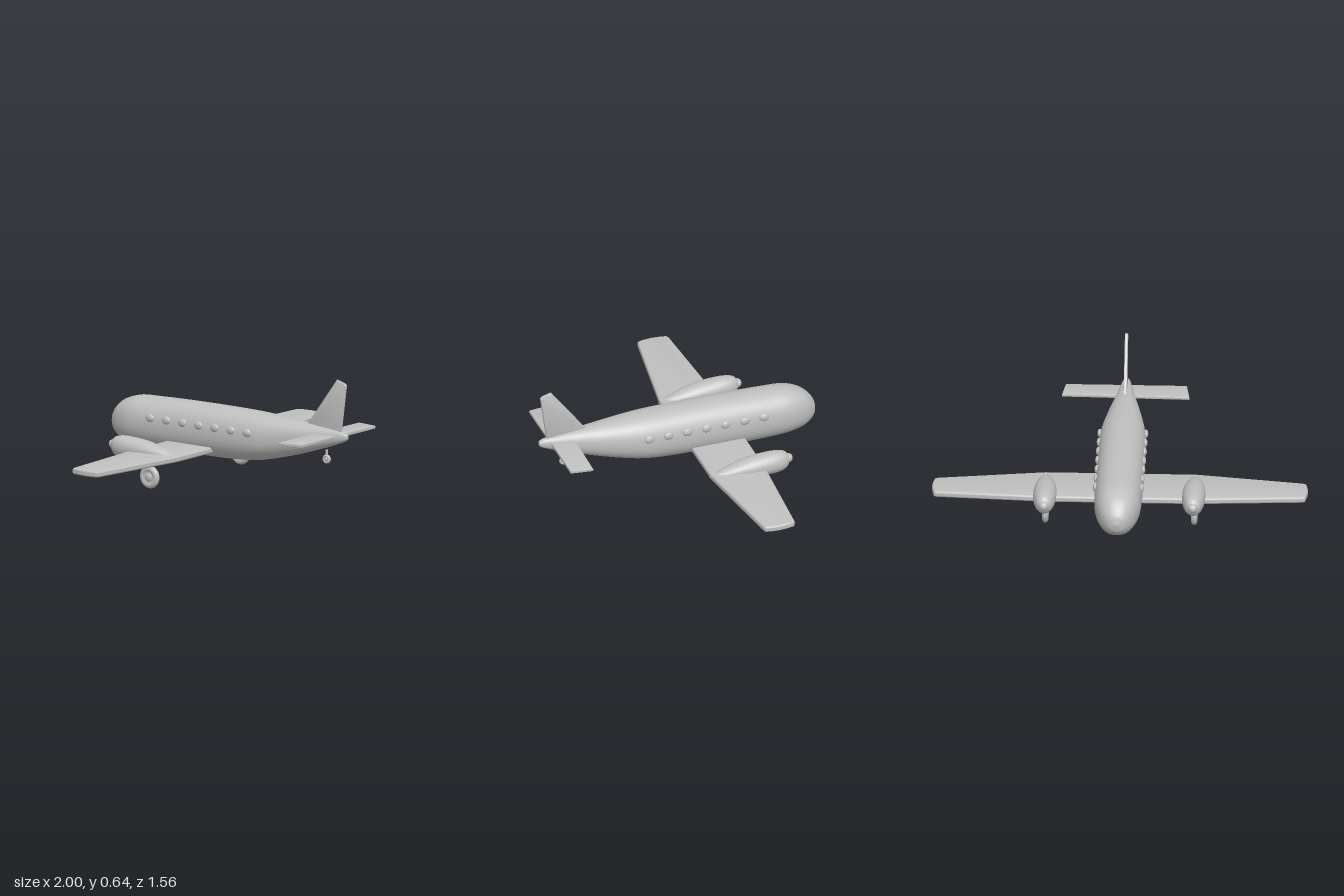
import * as THREE from 'three';
import { toCreasedNormals } from 'three/addons/utils/BufferGeometryUtils.js';

const paint = new THREE.MeshStandardMaterial({ color: 0xc0c0c0 });
paint.name = 'light grey';

function add(parent, name, geometry, x = 0, y = 0, z = 0) {
  const mesh = new THREE.Mesh(geometry, paint);
  mesh.name = name;
  mesh.position.set(x, y, z);
  parent.add(mesh);
  return mesh;
}

// Smooth body through cross-sections [z, top, bottom, halfWidth]; power > 2 squares the rings.
function loft(sections, power, steps = 64, sides = 40) {
  const centres = new THREE.CatmullRomCurve3(sections.map(([z, t, b]) => new THREE.Vector3(0, (t + b) / 2, z)));
  const sizes = new THREE.CatmullRomCurve3(sections.map(([z, t, b, w]) => new THREE.Vector3(w, (t - b) / 2, z)));
  const positions = [], index = [];
  const bend = (v) => Math.sign(v) * Math.pow(Math.abs(v), 2 / power);
  for (let i = 0; i <= steps; i++) {
    const c = centres.getPoint(i / steps), s = sizes.getPoint(i / steps);
    for (let j = 0; j < sides; j++) {
      const a = (j / sides) * Math.PI * 2;
      positions.push(Math.max(s.x, 0.0005) * bend(Math.cos(a)), c.y + Math.max(s.y, 0.0005) * bend(Math.sin(a)), c.z);
      if (i === steps) continue;
      const k = (j + 1) % sides, p = i * sides, q = p + sides;
      index.push(p + j, p + k, q + j, p + k, q + k, q + j);
    }
  }
  const g = new THREE.BufferGeometry();
  g.setAttribute('position', new THREE.Float32BufferAttribute(positions, 3));
  g.setIndex(index);
  g.computeVertexNormals();
  return g;
}

// Flat surface with rounded rims, centred on its thickness.
function plate(points, thickness, rim) {
  const shape = new THREE.Shape(points.map(([x, y]) => new THREE.Vector2(x, y)));
  const bevel = thickness * 0.45;
  const depth = thickness - bevel * 2;
  const g = new THREE.ExtrudeGeometry(shape, {
    depth, bevelEnabled: true, bevelThickness: bevel, bevelSize: rim, bevelOffset: -rim, bevelSegments: 4,
  });
  g.translate(0, 0, -depth / 2);
  return toCreasedNormals(g, 0.7);
}

// Wheel turned about the x axis, with a fat tyre and a raised hub.
function wheelGeometry(radius, half) {
  const side = [[0, 1.05], [0.2, 1], [0.36, 0.75], [0.42, 0.5], [0.55, 0.8], [0.72, 0.9], [0.88, 0.7], [0.97, 0.35]];
  const profile = [...side.map(([r, h]) => [r, -h]), [1, 0], ...side.slice().reverse()];
  const g = new THREE.LatheGeometry(profile.map(([r, h]) => new THREE.Vector2(r * radius, h * half)), 36);
  return g.rotateZ(Math.PI / 2);
}

export function createModel() {
  const plane = new THREE.Group();
  plane.name = 'twinEngineAirplane';

  // Fuselage, nose towards -z
  add(plane, 'fuselage', loft([
    [-0.78, 0.25, 0.249, 0], [-0.768, 0.293, 0.207, 0.04], [-0.745, 0.328, 0.179, 0.066],
    [-0.7, 0.367, 0.154, 0.094], [-0.62, 0.396, 0.138, 0.118], [-0.5, 0.403, 0.131, 0.126],
    [-0.25, 0.409, 0.13, 0.127], [0, 0.41, 0.133, 0.127], [0.15, 0.408, 0.142, 0.125],
    [0.25, 0.404, 0.157, 0.118], [0.45, 0.392, 0.208, 0.083], [0.6, 0.38, 0.256, 0.051],
    [0.7, 0.371, 0.291, 0.032], [0.755, 0.363, 0.313, 0.02], [0.775, 0.353, 0.325, 0.012], [0.78, 0.339, 0.338, 0],
  ], 2.25, 90));

  // Cabin windows along both sides
  for (const side of [1, -1]) {
    for (let i = 0; i < 7; i++) {
      const pane = new THREE.SphereGeometry(1, 20, 14).scale(0.012, 0.022, 0.027);
      add(plane, 'window', pane, side * 0.123, 0.312, 0.197 - i * 0.1078);
    }
  }

  // Main wing: straight centre, tapered outer panels, rounded tips
  const half = [[0.4, -0.35], [0.97, -0.313], [0.986, -0.305], [0.994, -0.265], [0.998, -0.22], [0.994, -0.175], [0.986, -0.14], [0.97, -0.134], [0.4, -0.047]];
  const outline = [...half, ...half.slice().reverse().map(([x, z]) => [-x, z])];
  add(plane, 'wing', plate(outline, 0.034, 0.012).rotateX(Math.PI / 2), 0, 0.184, 0);

  // Tailplane and fin
  add(plane, 'tailplane', plate([[-0.34, 0.576], [0.338, 0.593], [0.322, 0.716], [-0.322, 0.716]], 0.017, 0.004)
    .rotateX(Math.PI / 2), 0, 0.336, 0);
  add(plane, 'fin', plate([[0.515, 0.385], [0.733, 0.345], [0.77, 0.62], [0.755, 0.632], [0.708, 0.645]], 0.016, 0.004)
    .rotateY(-Math.PI / 2));

  // Engines and main landing gear
  for (const side of [1, -1]) {
    const engine = new THREE.Group();
    engine.name = side > 0 ? 'leftEngine' : 'rightEngine';
    engine.position.x = side * 0.395;
    plane.add(engine);
    add(engine, 'nacelle', loft([
      [-0.489, 0.212, 0.211, 0], [-0.484, 0.238, 0.183, 0.025], [-0.465, 0.257, 0.159, 0.041],
      [-0.42, 0.266, 0.147, 0.055], [-0.35, 0.265, 0.146, 0.061], [-0.25, 0.254, 0.15, 0.058],
      [-0.15, 0.227, 0.158, 0.042], [-0.08, 0.202, 0.168, 0.022], [-0.04, 0.183, 0.182, 0],
    ], 2.1, 44, 32));
    add(engine, 'spinner', new THREE.SphereGeometry(0.025, 24, 16), 0, 0.213, -0.485);
    add(engine, 'gearLeg', new THREE.CylinderGeometry(0.014, 0.014, 0.08, 16), 0, 0.143, -0.242);
    add(engine, 'mainWheel', wheelGeometry(0.062, 0.019), 0, 0.064, -0.242);
  }

  // Tail wheel
  add(plane, 'tailGearLeg', new THREE.CylinderGeometry(0.007, 0.007, 0.045, 12), 0, 0.234, 0.637);
  add(plane, 'tailWheel', wheelGeometry(0.025, 0.011), 0, 0.206, 0.637);

  return plane;
}
